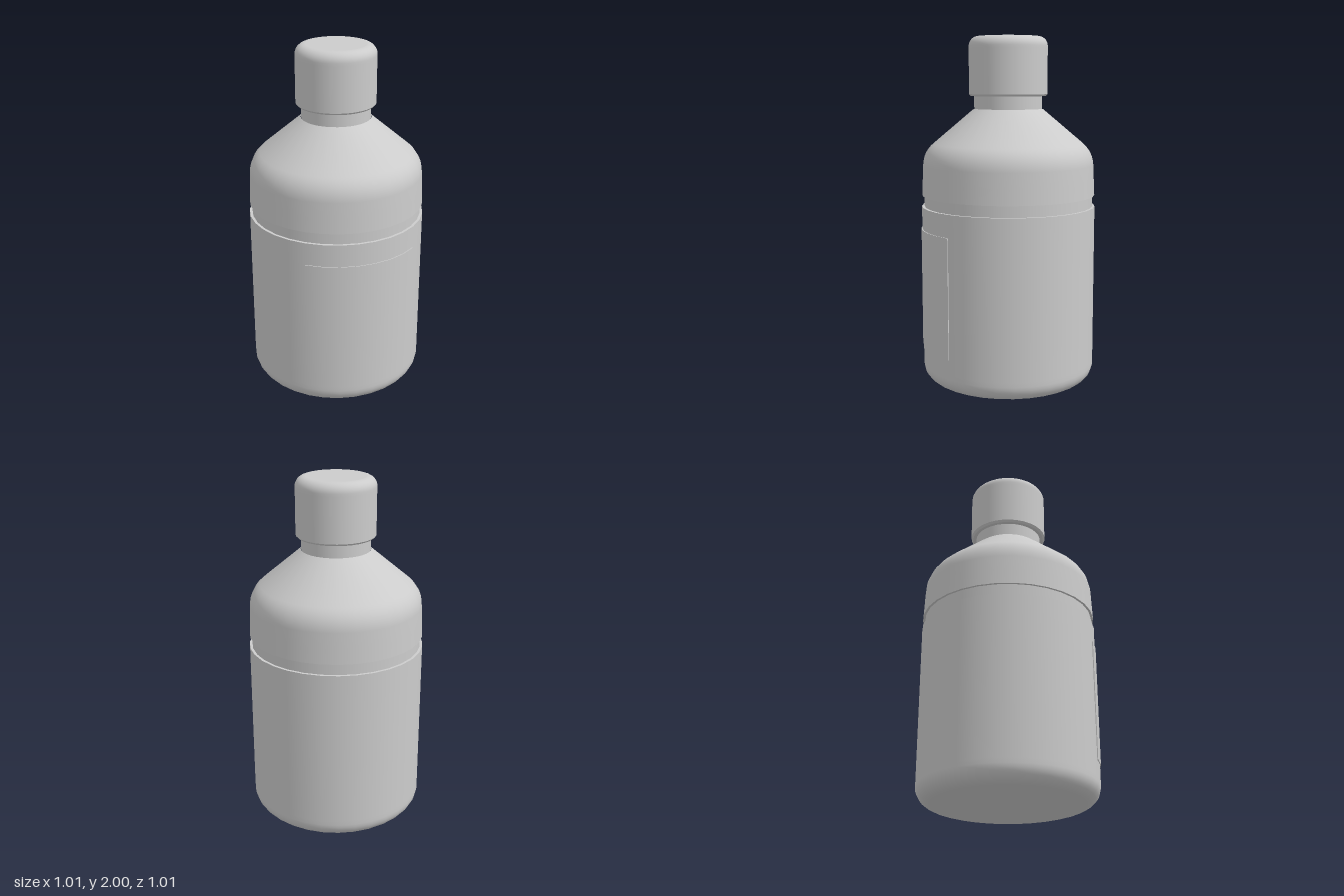
import * as THREE from 'three';

const SIDES = 32;
const STEP = (Math.PI * 2) / SIDES;
const material = new THREE.MeshStandardMaterial({ color: 0xcccccc });

// Quarter-round points about (cx, cy), angles in degrees
function arc(cx, cy, r, from, to, steps) {
  const points = [];
  for (let i = 0; i <= steps; i++) {
    const a = THREE.MathUtils.degToRad(from + ((to - from) * i) / steps);
    points.push([cx + r * Math.cos(a), cy + r * Math.sin(a)]);
  }
  return points;
}

// Each run of [radius, y] points is smooth; creases fall between the runs
function turned(name, runs, start = 0, count = SIDES) {
  const group = new THREE.Group();
  group.name = name;
  for (const run of runs) {
    const points = run.map(([r, y]) => new THREE.Vector2(r, y));
    const mesh = new THREE.Mesh(
      new THREE.LatheGeometry(points, count, start * STEP, count * STEP), material);
    mesh.name = name + 'Surface';
    group.add(mesh);
  }
  return group;
}

export function createModel() {
  const model = new THREE.Group();
  model.name = 'bottle';
  const R = 0.503;

  // Main body with rounded foot
  model.add(turned('body', [
    [[0, 0], [0.41, 0]],
    [...arc(0.41, 0.093, 0.093, -90, 0, 8), [R, 0.12]],
    [[R, 0.12], [R, 1.03]],
    [[R, 1.03], [0.488, 1.03]],
  ]));

  // Recessed ring between body and shoulder
  model.add(turned('groove', [[[0.488, 1.03], [0.488, 1.095]]]));

  // Slightly tapered shoulder, rounding into the cone
  const bend = new THREE.QuadraticBezierCurve(
    new THREE.Vector2(0.493, 1.27), new THREE.Vector2(0.489, 1.345), new THREE.Vector2(0.435, 1.391));
  model.add(turned('shoulder', [
    [[0.488, 1.095], [0.501, 1.095]],
    [[0.501, 1.095], [0.497, 1.18], ...bend.getPoints(8).map((p) => [p.x, p.y]),
      [0.41, 1.412], [0.22, 1.572], [0.198, 1.59]],
  ]));

  // Neck
  model.add(turned('neck', [[[0.196, 1.588], [0.196, 1.67]]]));

  // Cap with a bevelled lower rim and rounded top edge
  model.add(turned('cap', [
    [[0.19, 1.663], [0.215, 1.663]],
    [[0.215, 1.663], [0.226, 1.674]],
    [[0.226, 1.674], [0.226, 1.93], ...arc(0.171, 1.945, 0.055, 0, 90, 8)],
    [[0.171, 2], [0, 2]],
  ]));

  // Thin raised label wrapped around the front left of the body
  const low = 0.21, high = 0.9, outer = 0.508, first = -1, count = 7;
  const label = turned('label', [
    [[R - 0.003, low], [outer, low]],
    [[outer, low], [outer, high]],
    [[outer, high], [R - 0.003, high]],
  ], first, count);
  for (const [index, turn] of [[first, Math.PI], [first + count, 0]]) {
    const a = index * STEP, r = (R + outer) / 2;
    const end = new THREE.Mesh(new THREE.PlaneGeometry(outer - R, high - low), material);
    end.name = 'labelEnd';
    end.position.set(Math.sin(a) * r, (low + high) / 2, Math.cos(a) * r);
    end.rotation.y = a + Math.PI / 2 + turn;
    label.add(end);
  }
  model.add(label);

  // The label stands proud at the front, so the turned axis sits slightly back
  for (const part of model.children) part.position.z = -0.003;
  return model;
}
